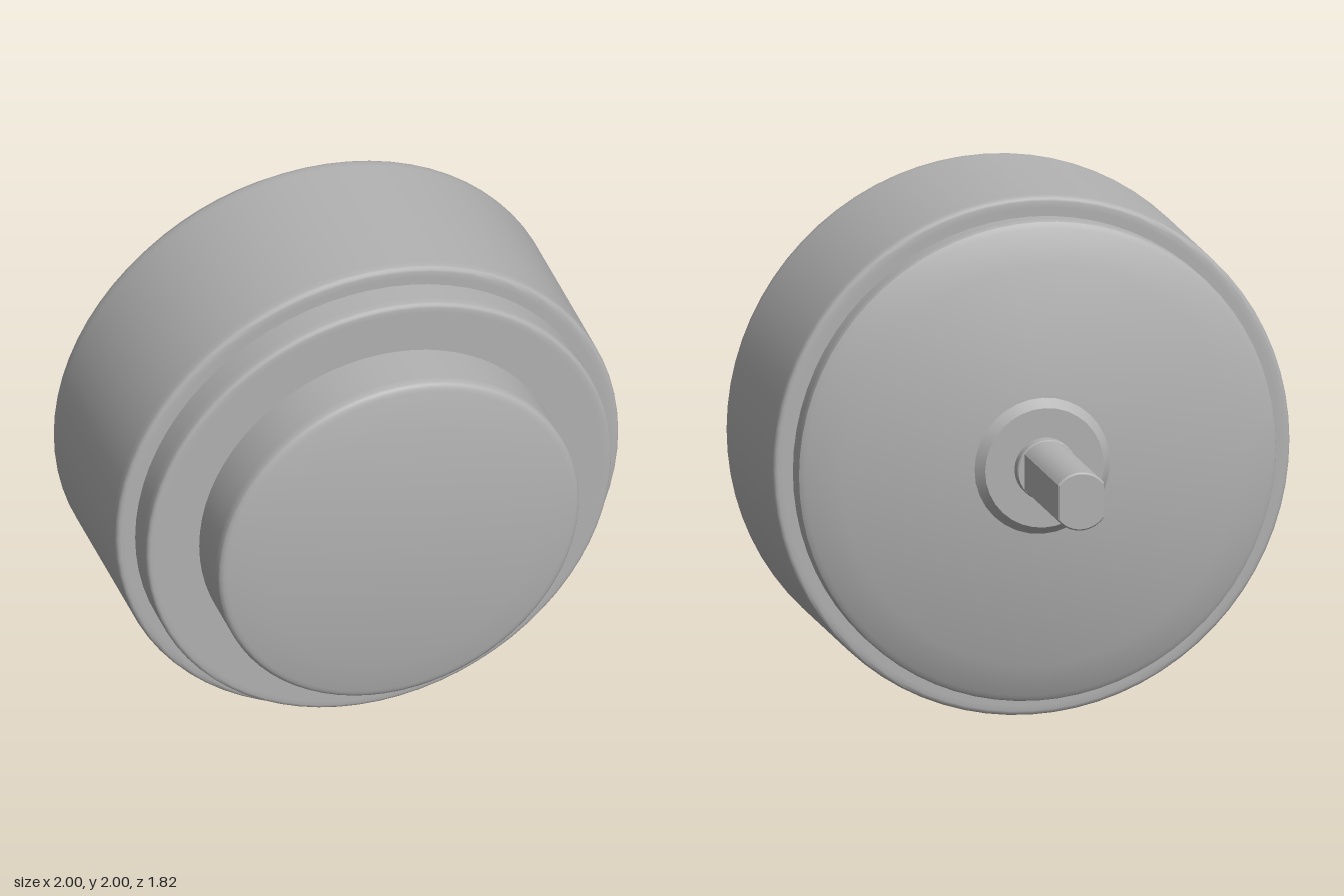
import * as THREE from 'three';
import { toCreasedNormals } from 'three/addons/utils/BufferGeometryUtils.js';

const SEGMENTS = 72;

export function createModel() {
  const model = new THREE.Group();
  model.name = 'motor';
  const grey = new THREE.MeshStandardMaterial({ color: 0xb2b2b2 });
  grey.name = 'metalGrey';

  // Everything turns about a horizontal axis at y = 1
  function add(name, geometry) {
    const mesh = new THREE.Mesh(geometry, grey);
    mesh.name = name;
    mesh.position.y = 1;
    model.add(mesh);
  }

  // Profile points are [radius, z], running from the back to the front
  function turned(name, profile, crease = 0.6, segments = SEGMENTS) {
    const points = profile.map(([r, z]) => new THREE.Vector2(r, z));
    const geometry = new THREE.LatheGeometry(points, segments);
    geometry.rotateX(Math.PI / 2);
    add(name, toCreasedNormals(geometry, crease));
  }

  // Quarter-round edge of size b, swept between two angles
  function round(r, z, b, from, to) {
    return [0, 1, 2, 3].map((i) => {
      const a = from + ((to - from) * i) / 3;
      return [r - b + b * Math.cos(a), z + b * Math.sin(a)];
    });
  }
  const backEdge = (r, z, b) => round(r, z + b, b, -Math.PI / 2, 0);
  const frontEdge = (r, z, b) => round(r, z - b, b, 0, Math.PI / 2);

  // Wide outer drum
  turned('outerDrum', [
    [0, -0.185], [0.96, -0.185], ...backEdge(1, -0.185, 0.018),
    [1, -0.14], [1, 0.48],
    ...frontEdge(1, 0.525, 0.018), [0.96, 0.525], [0, 0.525],
  ]);

  // Stepped ring in front of the drum
  turned('frontRing', [
    [0.925, 0.5], [0.925, 0.61],
    ...frontEdge(0.925, 0.655, 0.016), [0.89, 0.655], [0, 0.655],
  ]);

  // Front cover with a shallow conical edge
  turned('frontCover', [
    [0.717, 0.63], [0.717, 0.83], [0.717, 0.862], [0.712, 0.871],
    [0.7, 0.878], [0.685, 0.881], [0.55, 0.912], [0, 0.912],
  ]);

  // Rear cover with a conical edge
  turned('rearCover', [
    [0, -0.336], [0.77, -0.336], [0.9, -0.276], [0.914, -0.27],
    [0.922, -0.264], [0.925, -0.255], [0.925, -0.23], [0.925, -0.16],
  ]);

  // Bearing boss and collar at the root of the shaft
  turned('bearingBoss', [[0, -0.37], [0.23, -0.37], [0.268, -0.33]], 0.5, 32);
  turned('shaftCollar', [[0, -0.414], [0.113, -0.414], [0.117, -0.408], [0.117, -0.36]], 0.5, 32);

  // Shaft with two parallel flats, facing left and right
  const radius = 0.106;
  const flat = Math.acos(0.083 / radius);
  const bevel = 0.006;
  const section = new THREE.Shape();
  section.absarc(0, 0, radius, flat, Math.PI - flat, false);
  section.absarc(0, 0, radius, Math.PI + flat, 2 * Math.PI - flat, false);
  section.closePath();
  const shaft = new THREE.ExtrudeGeometry(section, {
    depth: 0.53, curveSegments: 10, bevelEnabled: true,
    bevelThickness: bevel, bevelSize: bevel, bevelSegments: 1,
  });
  shaft.translate(0, 0, -0.912 + bevel);
  add('shaft', toCreasedNormals(shaft, 0.5));

  return model;
}
